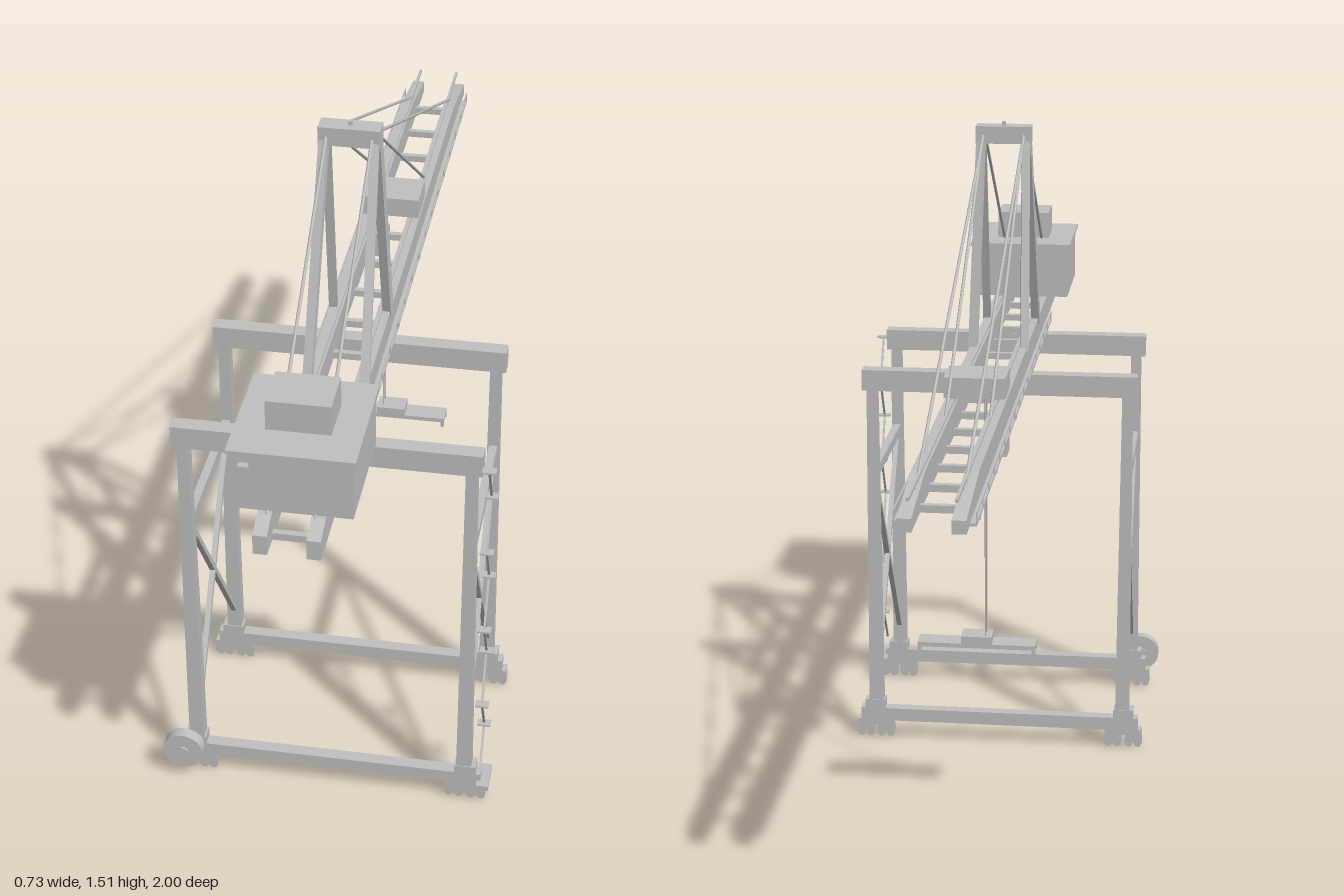
import * as THREE from 'three';

export function createModel() {
  const crane = new THREE.Group();
  crane.name = 'gantryCrane';
  const steel = new THREE.MeshStandardMaterial({ color: 0xc0c0c0 });
  steel.name = 'grey steel';
  const CX = 0.004; // centre line of the portal and boom

  const add = (name, geo) => {
    const m = new THREE.Mesh(geo, steel);
    m.name = name;
    crane.add(m);
    return m;
  };
  // Box given by its extents on each axis
  const box = (name, x0, x1, y0, y1, z0, z1) => {
    const m = add(name, new THREE.BoxGeometry(x1 - x0, y1 - y0, z1 - z0));
    m.position.set((x0 + x1) / 2, (y0 + y1) / 2, (z0 + z1) / 2);
    return m;
  };
  // Square bar or round rod running between two points
  const bar = (name, a, b, w, d = w, round = false) => {
    const p = new THREE.Vector3(...a), q = new THREE.Vector3(...b);
    const len = p.distanceTo(q);
    const m = add(name, round
      ? new THREE.CylinderGeometry(w / 2, w / 2, len, 8)
      : new THREE.BoxGeometry(w, len, d));
    m.position.copy(p).add(q).multiplyScalar(0.5);
    m.quaternion.setFromUnitVectors(new THREE.Vector3(0, 1, 0), q.sub(p).normalize());
    return m;
  };
  const rod = (name, a, b, w) => bar(name, a, b, w, w, true);
  const disc = (name, r, depth, x, y, z, sides = 16) => {
    const m = add(name, new THREE.CylinderGeometry(r, r, depth, sides));
    m.rotation.x = Math.PI / 2;
    m.position.set(x, y, z);
    return m;
  };

  // Portal frames: tapered legs, top beam, sill beam and wheel bogies
  const frames = [0.588, 0.195];
  for (const z of frames) {
    box('portalBeam', -0.32, 0.328, 0.885, 0.935, z - 0.018, z + 0.018);
    box('sillBeam', -0.335, 0.343, 0.046, 0.078, z - 0.014, z + 0.014);
    for (const s of [-1, 1]) {
      const geo = new THREE.BoxGeometry(0.024, 0.81, 0.03);
      const p = geo.attributes.position;
      for (let i = 0; i < p.count; i++) if (p.getY(i) < 0) p.setX(i, p.getX(i) * 1.4);
      geo.computeVertexNormals();
      const leg = add('leg', geo);
      leg.position.set(CX + s * 0.301, 0.483, z);
      const bx = CX + s * 0.304;
      box('legFoot', bx - 0.024, bx + 0.024, 0.04, 0.1, z - 0.017, z + 0.017);
      box('bogieBeam', bx - 0.045, bx + 0.045, 0.034, 0.048, z - 0.013, z + 0.013);
      for (const t of [-1, 1]) {
        const tx = bx + t * 0.025;
        box('bogieTruck', tx - 0.021, tx + 0.021, 0.014, 0.036, z - 0.012, z + 0.012);
        for (const w of [-1, 1]) disc('wheel', 0.009, 0.01, tx + w * 0.011, 0.009, z, 12);
      }
    }
  }

  // Side ties and cross bracing between the frames
  for (const s of [-1, 1]) {
    const x = CX + s * 0.301;
    box('sideTie', x - 0.009, x + 0.009, 0.665, 0.69, 0.195, 0.588);
    bar('crossBrace', [x, 0.67, 0.575], [x, 0.15, 0.207], 0.012);
    bar('crossBrace', [x, 0.67, 0.207], [x, 0.15, 0.575], 0.012);
  }

  // Cable reel
  disc('cableReel', 0.045, 0.026, -0.322, 0.08, 0.625, 28);
  disc('reelHub', 0.013, 0.034, -0.322, 0.08, 0.625, 14);

  // Zigzag access stair with small landings
  const levels = 8;
  const stairPoint = i => [0.342, 0.907 - i * 0.1025, i % 2 ? 0.553 : 0.61];
  for (let i = 0; i < levels; i++) {
    const [x, y, z] = stairPoint(i);
    box('landing', 0.328, 0.357, y - 0.002, y + 0.002, z - 0.008, z + 0.012);
    const next = stairPoint(i + 1);
    next[1] = Math.max(next[1], 0.1);
    bar('stairFlight', [x, y, z], next, 0.005);
  }
  box('stairBase', 0.335, 0.362, 0.05, 0.062, 0.545, 0.62);

  // Boom: two girders tapered at their ends
  const profile = new THREE.Shape([
    [-1, 0.94], [1, 0.94], [1, 0.967], [0.8, 1], [-0.95, 1], [-1, 0.983],
  ].map(p => new THREE.Vector2(...p)));
  for (const s of [-1, 1]) {
    const g = add('boomGirder', new THREE.ExtrudeGeometry(profile, { depth: 0.028, bevelEnabled: false }));
    g.rotation.y = Math.PI / 2;
    g.position.x = CX + s * 0.052 - 0.014;
    // Trolley rail, walkway and handrail
    const rx = CX + s * 0.046;
    box('trolleyRail', rx - 0.003, rx + 0.003, 0.998, 1.005, -0.99, 0.68);
    const wx = CX + s * 0.0725;
    box('walkway', wx - 0.007, wx + 0.007, 0.94, 0.946, -0.95, 0.68);
    const hx = CX + s * 0.079;
    box('handrail', hx - 0.0015, hx + 0.0015, 0.964, 0.968, -0.95, 0.68);
    for (let i = 0; i <= 16; i++) {
      const z = 0.675 - i * 0.1014;
      box('railPost', hx - 0.0015, hx + 0.0015, 0.942, 0.966, z - 0.0015, z + 0.0015);
    }
    for (const z of [0.13, -0.17, -0.57, -0.87])
      box('floodlight', wx - 0.005, wx + 0.005, 0.928, 0.94, z - 0.006, z + 0.006);
  }
  for (let z = -0.875; z < 1; z += 0.13)
    box('boomTie', CX - 0.04, CX + 0.04, 0.941, 0.956, z - 0.007, z + 0.007);

  // A-frame mast with stays
  const az = 0.293;
  box('mastHead', CX - 0.064, CX + 0.064, 1.458, 1.498, az - 0.022, az + 0.022);
  box('mastLight', CX - 0.004, CX + 0.004, 1.498, 1.507, az - 0.004, az + 0.004);
  for (const s of [-1, 1]) {
    for (const [top, foot] of [[0.305, 0.477], [0.281, 0.178]])
      bar('mastLeg', [CX + s * 0.052, 1.47, top], [CX + s * 0.06, 0.99, foot], 0.019);
    const x = CX + s * 0.047;
    rod('backStay', [x, 1.48, az + 0.015], [x, 0.99, 0.96], 0.007);
    rod('innerForeStay', [x, 1.48, az - 0.015], [x, 0.99, -0.44], 0.007);
    rod('outerForeStay', [x, 1.475, az - 0.015], [x, 0.985, -0.875], 0.007);
  }

  // Machinery house
  box('machineryHouse', CX - 0.119, CX + 0.119, 1.003, 1.13, 0.69, 0.945);
  box('houseRoof', CX - 0.125, CX + 0.125, 1.13, 1.138, 0.682, 0.952);
  box('roofUnit', CX - 0.064, CX + 0.064, 1.138, 1.202, 0.765, 0.87);
  box('houseVent', CX - 0.1, CX - 0.08, 1.09, 1.11, 0.945, 0.96);
  for (const s of [-1, 1])
    box('houseSupport', CX + s * 0.052 - 0.01, CX + s * 0.052 + 0.01, 0.99, 1.01, 0.7, 0.935);

  // Trolley and operator cab
  box('trolley', CX - 0.066, CX + 0.066, 1.01, 1.055, -0.312, -0.21);
  for (const s of [-1, 1]) for (const z of [-0.29, -0.232])
    box('trolleyWheel', CX + s * 0.046 - 0.005, CX + s * 0.046 + 0.005, 0.998, 1.012, z - 0.01, z + 0.01);
  box('operatorCab', -0.065, -0.01, 0.88, 0.936, -0.303, -0.243);

  // Hoist ropes, head block and spreader
  for (const z of [-0.252, -0.279])
    rod('hoistRope', [-0.016, 0.45, z], [-0.016, 1.02, z], 0.003);
  box('headBlock', CX - 0.034, CX + 0.034, 0.441, 0.458, -0.288, -0.238);
  box('spreader', CX - 0.131, CX + 0.131, 0.431, 0.441, -0.288, -0.238);
  for (const s of [-1, 1]) for (const z of [-0.285, -0.241]) {
    const x = CX + s * 0.127;
    box('spreaderCorner', x - 0.004, x + 0.004, 0.418, 0.433, z - 0.003, z + 0.003);
  }
  return crane;
}
